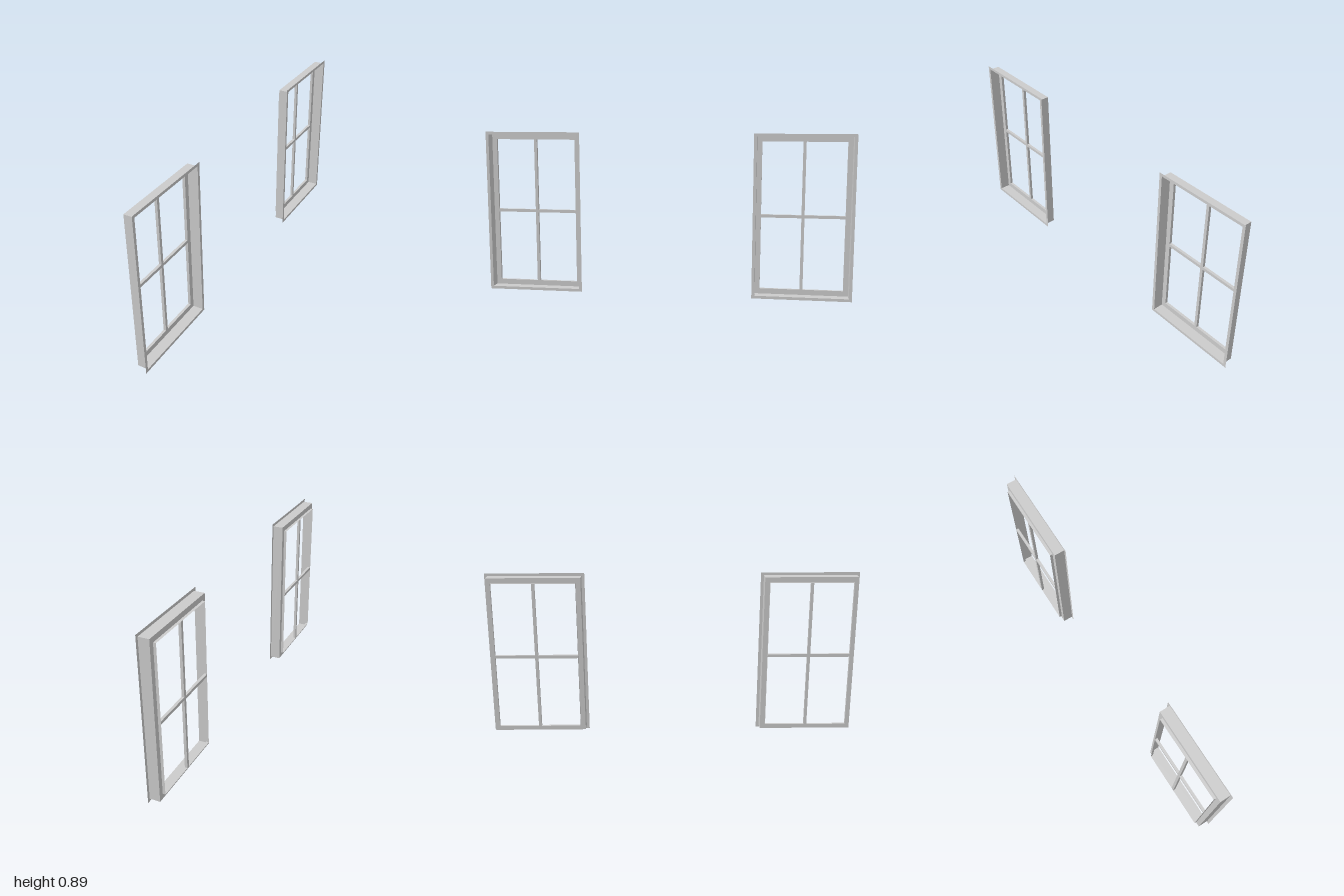
import * as THREE from 'three';

const material = new THREE.MeshStandardMaterial({ color: 0xcccccc, side: THREE.DoubleSide, flatShading: true });

// Sizes as [width along z, height along y]
const FLANGE = [0.53, 0.886];
const CASING = [0.498, 0.856];
const OPENING = [0.445, 0.799];
const MID_Y = FLANGE[1] / 2;
const DEPTH = 0.056; // flange plane to back plate
const LIP = 0.0145; // sash beyond the back plate
const BAR = 0.016;

function addMesh(parent, name, geometry, x = 0, y = 0, z = 0) {
  const mesh = new THREE.Mesh(geometry, material);
  mesh.name = name;
  mesh.position.set(x, y, z);
  parent.add(mesh);
  return mesh;
}

function rectangle(path, [w, h]) {
  path.moveTo(-w / 2, -h / 2);
  path.lineTo(w / 2, -h / 2);
  path.lineTo(w / 2, h / 2);
  path.lineTo(-w / 2, h / 2);
  path.closePath();
  return path;
}

// Flat rectangular ring facing +x
function addRing(parent, name, outer, inner, x) {
  const shape = rectangle(new THREE.Shape(), outer);
  shape.holes.push(rectangle(new THREE.Path(), inner));
  addMesh(parent, name, new THREE.ShapeGeometry(shape).rotateY(Math.PI / 2), x);
}

// Four thin walls around a rectangle, running along x from x0 to x1
function addSleeve(parent, name, [w, h], x0, x1) {
  const sleeve = new THREE.Group();
  sleeve.name = name;
  const x = (x0 + x1) / 2;
  const d = x1 - x0;
  for (const s of [-1, 1]) {
    const side = new THREE.PlaneGeometry(d, h);
    if (s < 0) side.rotateY(Math.PI);
    addMesh(sleeve, 'sideWall', side, x, 0, (s * w) / 2);
    const level = new THREE.PlaneGeometry(d, w).rotateX((-s * Math.PI) / 2);
    addMesh(sleeve, s > 0 ? 'topWall' : 'bottomWall', level, x, (s * h) / 2, 0);
  }
  parent.add(sleeve);
}

function createWindow(name) {
  const win = new THREE.Group();
  win.name = name;

  // Outer frame: trim flange, deep casing and back plate
  addRing(win, 'trimFlange', FLANGE, CASING, 0);
  addSleeve(win, 'casing', CASING, -DEPTH, 0);
  addRing(win, 'backPlate', CASING, OPENING, -DEPTH);

  // Sash rim and crossing glazing bars
  addSleeve(win, 'sashRim', OPENING, -DEPTH - LIP, -DEPTH);
  const barX = -DEPTH - LIP / 2;
  addMesh(win, 'verticalBar', new THREE.BoxGeometry(LIP, OPENING[1], BAR), barX);
  addMesh(win, 'horizontalBar', new THREE.BoxGeometry(LIP, BAR, OPENING[0]), barX);
  return win;
}

export function createModel() {
  const model = new THREE.Group();
  model.name = 'windowPair';

  // Both windows lie in one wall plane, turned slightly about y
  const wall = new THREE.Group();
  wall.name = 'wallPlane';
  wall.rotation.y = 0.025;
  for (const s of [1, -1]) {
    const win = createWindow(s > 0 ? 'frontWindow' : 'rearWindow');
    win.position.set(0.0345, MID_Y, s * 0.735);
    wall.add(win);
  }
  model.add(wall);
  return model;
}
